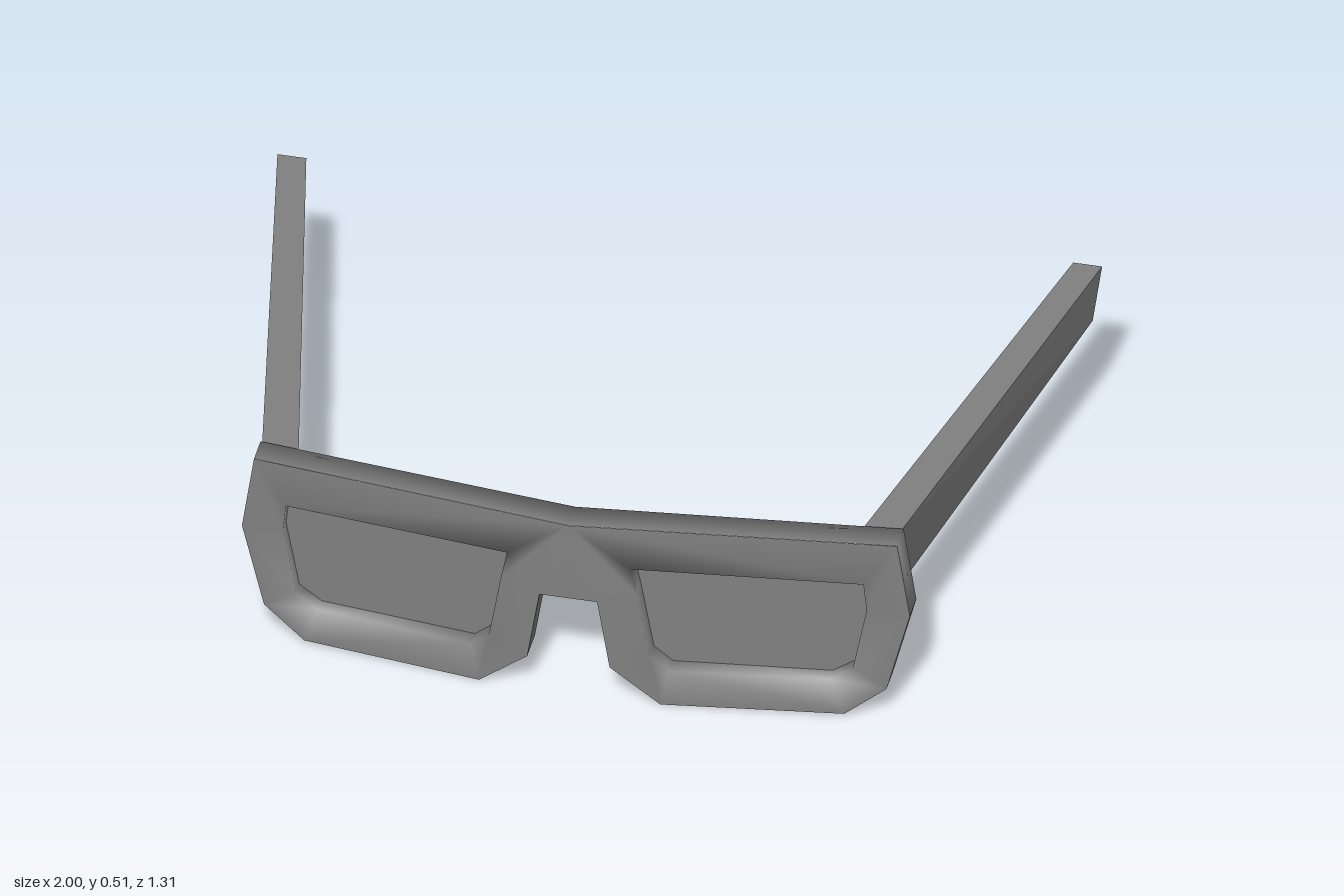
import * as THREE from 'three';
import { mergeVertices } from 'three/addons/utils/BufferGeometryUtils.js';
import { ConvexGeometry } from 'three/addons/geometries/ConvexGeometry.js';

const material = new THREE.MeshStandardMaterial({ color: 0x808080 });

// Half outline of the frame, clockwise from the top centre to the bridge underside
const OUTER = [[0, 0.505], [0.78, 0.515], [0.81, 0.31], [0.755, 0.09], [0.655, 0.008],
  [0.22, 0], [0.1, 0.1], [0.07, 0.29], [0, 0.29]];
// Lens opening, point by point beside the outline
const INNER = [[0.15, 0.395], [0.7, 0.395], [0.708, 0.32], [0.675, 0.145], [0.62, 0.108],
  [0.24, 0.1], [0.195, 0.14], [0.165, 0.32]];

// The frame sweeps back to both sides and is thickest beside the nose
const SWEEP = 0.094;
const frontZ = (x) => Math.min(0.652, 0.662 - 0.114 * x);
const backZ = (x) => 0.576 - SWEEP * x;
// A hair's breadth between front and rim wall keeps that edge crisp
const wallZ = (x) => frontZ(x) - 0.0004;

function frameGeometry() {
  const positions = [];
  for (const side of [1, -1]) {
    const ring = (points, z) => points.map(([x, y]) => [side * x, y, z(x)]);
    const of = ring(OUTER, frontZ);
    const ow = ring(OUTER, wallZ);
    const ob = ring(OUTER, backZ);
    const nf = ring(INNER, frontZ);
    const nb = ring(INNER, backZ);
    const tri = (a, b, c) => positions.push(...a, ...(side > 0 ? [...b, ...c] : [...c, ...b]));
    const quad = (a, b, c, d) => { tri(a, b, c); tri(a, c, d); };

    for (let i = 0; i < 8; i++) {
      const j = (i + 1) % 8;
      // front and back of the rim
      if (i < 7) {
        quad(of[i], nf[i], nf[j], of[j]);
        quad(ob[i], ob[j], nb[j], nb[i]);
      }
      // outer wall and wall of the opening
      quad(ow[i], ow[i + 1], ob[i + 1], ob[i]);
      quad(nf[i], nb[i], nb[j], nf[j]);
    }
    // bridge, fanned out from the top centre
    for (const [o, n, flip] of [[of, nf, false], [ob, nb, true]]) {
      for (const [a, b, c] of [[o[0], n[7], n[0]], [o[0], o[7], n[7]], [o[0], o[8], o[7]]]) {
        if (flip) tri(a, c, b); else tri(a, b, c);
      }
    }
  }
  const soup = new THREE.BufferGeometry();
  soup.setAttribute('position', new THREE.Float32BufferAttribute(positions, 3));
  const geometry = mergeVertices(soup, 1e-4);
  geometry.computeVertexNormals(); // soft shading around the rim
  return geometry;
}

// Thin flat lens set halfway into the frame
function lensGeometry(side) {
  const shape = new THREE.Shape(INNER.map(([x, y]) => new THREE.Vector2(side * x, y)));
  const geometry = new THREE.ExtrudeGeometry(shape, { depth: 0.012, bevelEnabled: false });
  const p = geometry.attributes.position;
  for (let i = 0; i < p.count; i++) {
    p.setZ(i, p.getZ(i) + 0.602 - SWEEP * Math.abs(p.getX(i)));
  }
  geometry.computeVertexNormals();
  return geometry;
}

// Wedge-shaped arm: flat on top, narrowing to an edge below
function templeGeometry(side) {
  const points = [
    [0.775, 0.512, 0.507], [0.685, 0.512, 0.514], [0.74, 0.29, 0.508],
    [1.0, 0.475, -0.655], [0.93, 0.475, -0.655], [0.983, 0.33, -0.63],
  ];
  return new ConvexGeometry(points.map(([x, y, z]) => new THREE.Vector3(side * x, y, z)));
}

export function createModel() {
  const model = new THREE.Group();
  model.name = 'glasses';
  const add = (name, geometry) => {
    const mesh = new THREE.Mesh(geometry, material);
    mesh.name = name;
    model.add(mesh);
  };

  add('frame', frameGeometry());
  for (const [label, side] of [['left', 1], ['right', -1]]) {
    add(`${label}Lens`, lensGeometry(side));
    add(`${label}Temple`, templeGeometry(side));
  }
  return model;
}
